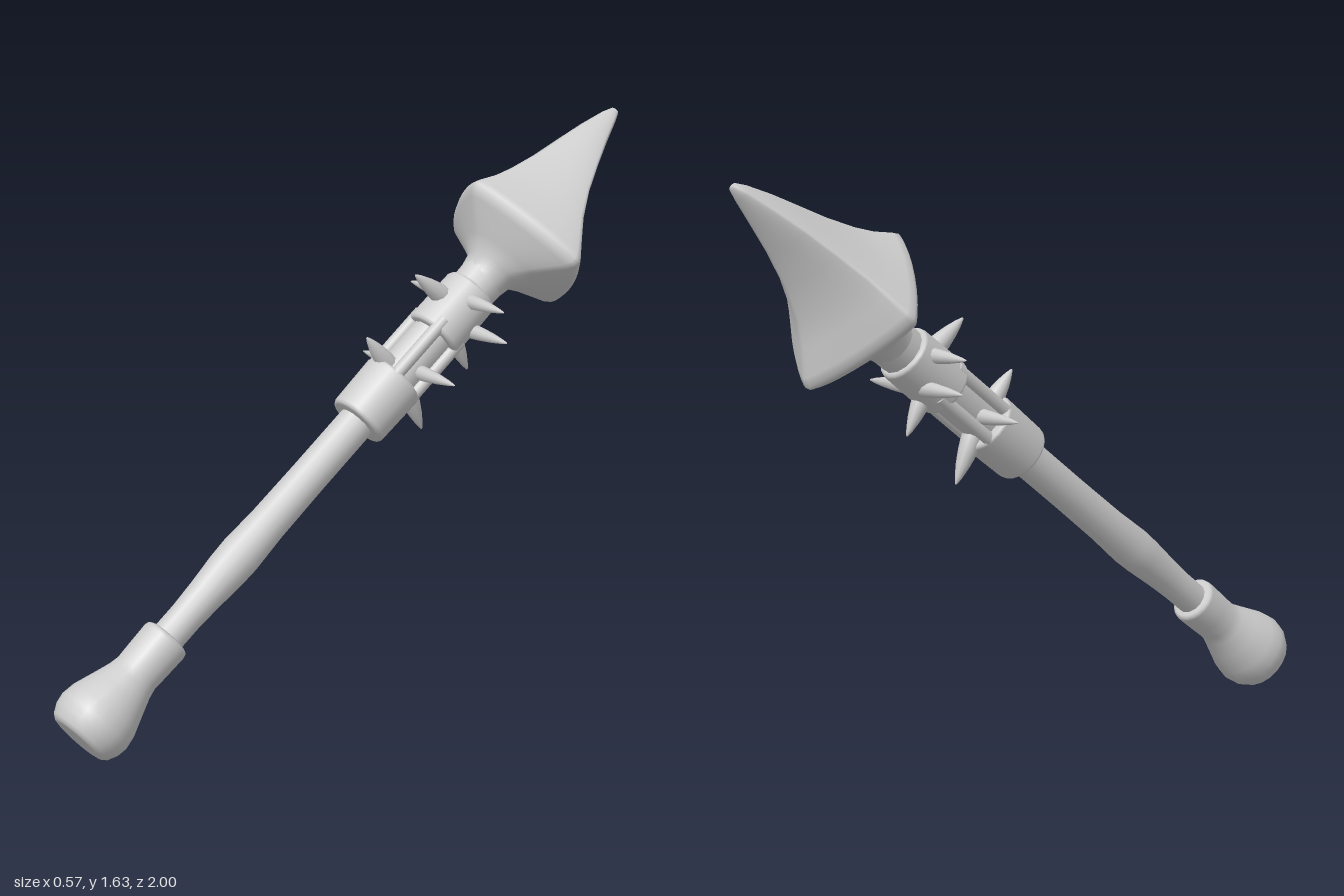
import * as THREE from 'three';

const material = new THREE.MeshStandardMaterial({ color: 0xcccccc });

function addMesh(parent, name, geometry) {
  const mesh = new THREE.Mesh(geometry, material);
  mesh.name = name;
  parent.add(mesh);
  return mesh;
}

// Turned part: profile as [radius, height along the weapon]
function turned(parent, name, profile, sides = 20) {
  const points = profile.map(([r, y]) => new THREE.Vector2(r, y));
  return addMesh(parent, name, new THREE.LatheGeometry(points, sides));
}

// Ring with softened edges
function band(parent, name, y0, y1, r0, r1) {
  const b = 0.012;
  return turned(parent, name, [
    [0.04, y0], [r0 - b, y0], [r0 - b * 0.3, y0 + b * 0.3], [r0, y0 + b],
    [r1, y1 - b], [r1 - b * 0.3, y1 - b * 0.3], [r1 - b, y1], [0.04, y1],
  ]);
}

// Tapered spike from base to tip
function spike(parent, name, base, tip, radius) {
  const a = new THREE.Vector3(...base);
  const dir = new THREE.Vector3(...tip).sub(a);
  const h = dir.length();
  const profile = [[1, -0.15], [1, 0], [0.88, 0.25], [0.65, 0.55], [0.35, 0.82], [0.12, 0.97], [0, 1]];
  const mesh = turned(parent, name, profile.map(([r, t]) => [r * radius, t * h]), 10);
  mesh.position.copy(a);
  mesh.quaternion.setFromUnitVectors(new THREE.Vector3(0, 1, 0), dir.normalize());
}

// Loft of superellipse sections: [height, half width, half depth, depth offset, power]
function loft(sections, sides) {
  const positions = [], index = [];
  for (const [y, hx, hz, cz, power] of sections) {
    for (let i = 0; i < sides; i++) {
      const a = (i / sides) * Math.PI * 2;
      const c = Math.cos(a), s = Math.sin(a), e = 2 / power;
      positions.push(
        hx * Math.sign(c) * Math.abs(c) ** e, y,
        cz + hz * Math.sign(s) * Math.abs(s) ** e);
    }
  }
  for (let j = 0; j < sections.length - 1; j++) {
    for (let i = 0; i < sides; i++) {
      const k = (i + 1) % sides;
      const a = j * sides + i, b = j * sides + k;
      index.push(a, a + sides, b, b, a + sides, b + sides);
    }
  }
  // Close the tip
  const [y, , , cz] = sections[sections.length - 1];
  const last = (sections.length - 1) * sides;
  positions.push(0, y + 0.005, cz);
  for (let i = 0; i < sides; i++) {
    index.push(last + i, last + sides, last + (i + 1) % sides);
  }
  const geometry = new THREE.BufferGeometry();
  geometry.setAttribute('position', new THREE.Float32BufferAttribute(positions, 3));
  geometry.setIndex(index);
  geometry.computeVertexNormals();
  return geometry;
}

export function createModel() {
  const model = new THREE.Group();
  model.name = 'mace';

  // The weapon is built upright along y, then leaned back
  const weapon = new THREE.Group();
  weapon.name = 'weapon';
  weapon.position.set(0, 0.08, 0.945);
  weapon.rotation.x = -0.912;
  model.add(weapon);

  // Handle
  turned(weapon, 'pommel', [
    [0, 0], [0.075, 0], [0.088, 0.003], [0.1, 0.012], [0.114, 0.04], [0.119, 0.07], [0.113, 0.11],
    [0.092, 0.17], [0.075, 0.22], [0.069, 0.25], [0.071, 0.3], [0.073, 0.37],
    [0.07, 0.38], [0.062, 0.385], [0.04, 0.385],
  ]);
  turned(weapon, 'shaft', [
    [0.05, 0.35], [0.05, 0.46], [0.054, 0.54], [0.062, 0.64], [0.064, 0.7],
    [0.058, 0.82], [0.056, 1.0], [0.056, 1.25],
  ], 14);

  // Upper shaft with raised strips and bands
  turned(weapon, 'neck', [[0.06, 1.3], [0.066, 1.4], [0.066, 1.6], [0.072, 1.75], [0.075, 1.86]], 14);
  band(weapon, 'lowerCollar', 1.222, 1.4, 0.09, 0.094);
  band(weapon, 'upperBand', 1.57, 1.76, 0.089, 0.086);
  for (const sx of [-1, 1]) {
    for (const sz of [-1, 1]) {
      const strip = addMesh(weapon, 'strip', new THREE.CylinderGeometry(0.02, 0.02, 0.24, 10));
      strip.position.set(sx * 0.055, 1.49, sz * 0.048);
    }
  }

  // Side spikes, mirrored
  for (const sx of [-1, 1]) {
    for (const [y, z] of [[1.708, 0.028], [1.661, -0.055], [1.452, -0.011]]) {
      spike(weapon, 'sideSpike', [sx * 0.06, y, z], [sx * 0.222, y, z], 0.023);
    }
  }

  // Front and back spikes
  spike(weapon, 'frontSpike', [0, 1.672, 0.07], [0, 1.641, 0.195], 0.032);
  spike(weapon, 'frontSpike', [0, 1.408, 0.065], [0, 1.405, 0.176], 0.03);
  spike(weapon, 'backSpike', [0, 1.622, -0.065], [0, 1.601, -0.182], 0.029);
  spike(weapon, 'backSpike', [0, 1.402, -0.07], [0, 1.372, -0.2], 0.032);

  // Four-cornered head with a slightly hooked point
  addMesh(weapon, 'head', loft([
    [1.8, 0.074, 0.07, 0, 2],
    [1.845, 0.086, 0.08, 0, 1.9],
    [1.88, 0.15, 0.132, 0, 1.45],
    [1.935, 0.262, 0.232, -0.004, 1.22],
    [1.952, 0.281, 0.251, -0.004, 1.2],
    [1.968, 0.286, 0.256, -0.002, 1.2],
    [1.988, 0.276, 0.243, 0.001, 1.2],
    [2.04, 0.242, 0.197, 0.014, 1.2],
    [2.1, 0.203, 0.155, 0.028, 1.2],
    [2.19, 0.152, 0.113, 0.038, 1.2],
    [2.28, 0.11, 0.081, 0.044, 1.25],
    [2.37, 0.067, 0.053, 0.046, 1.35],
    [2.45, 0.031, 0.026, 0.045, 1.6],
    [2.482, 0.013, 0.012, 0.043, 2],
  ], 40));

  return model;
}
